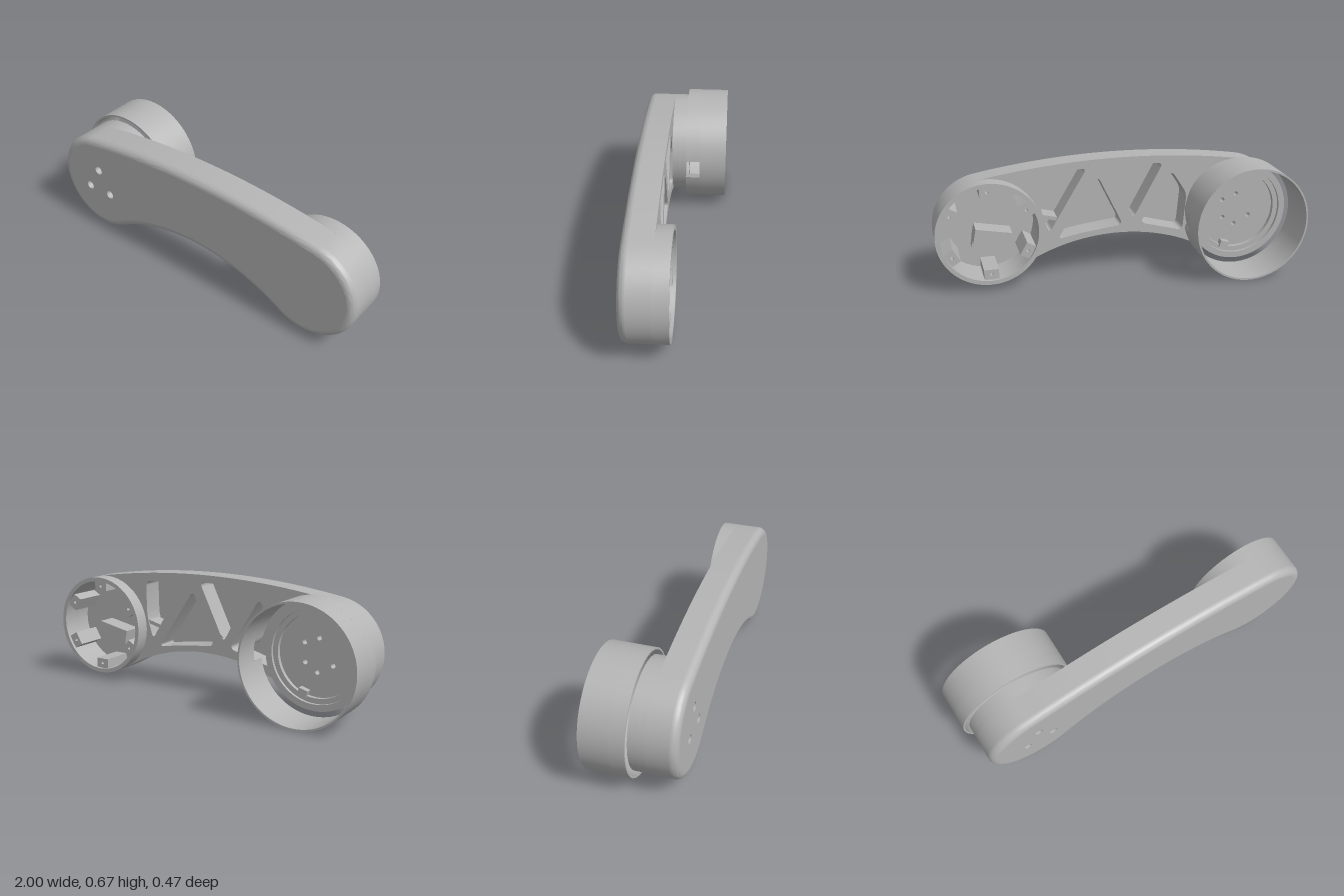
import * as THREE from 'three';
import { toCreasedNormals } from 'three/addons/utils/BufferGeometryUtils.js';

const grey = new THREE.MeshStandardMaterial({ color: 0xb4b4b4 });
grey.name = 'grey plastic';

const LEFT_X = -0.68, RIGHT_X = 0.715, END_Y = 0.325, END_R = 0.285;
const BACK = -0.005, ARM_BACK = 0.075, FLOOR = 0.195, FRONT = 0.235, ROUND = 0.04;

function arc(cx, cy, r, a0, a1, n) {
  return Array.from({ length: n }, (_, i) => {
    const a = a0 + (a1 - a0) * i / n;
    return new THREE.Vector2(cx + r * Math.cos(a), cy + r * Math.sin(a));
  });
}

// Arm outline of four tangent arcs, inset by d
function outline(d) {
  const cx = (LEFT_X + RIGHT_X) / 2, half = (RIGHT_X - LEFT_X) / 2;
  const topR = 4.37, topY = 0.67 - topR, lowR = 1.06, lowY = 0.235 - lowR;
  const top = Math.atan2(END_Y - topY, -half), low = Math.atan2(END_Y - lowY, -half);
  return [
    ...arc(LEFT_X, END_Y, END_R - d, top, low + Math.PI, 48),
    ...arc(cx, lowY, lowR + d, low, Math.PI - low, 32),
    ...arc(RIGHT_X, END_Y, END_R - d, -low, Math.PI - top, 48),
    ...arc(cx, topY, topR - d, Math.PI - top, top, 32),
  ];
}

const circle = (x, y, r, n = 64) => arc(x, y, r, 0, Math.PI * 2, n);

// Polygon with rounded corners, as points
function rounded(corners, r) {
  const pts = corners.map(([x, y]) => new THREE.Vector2(x, y));
  const path = new THREE.Path();
  pts.forEach((p, i) => {
    const prev = pts[(i + pts.length - 1) % pts.length], next = pts[(i + 1) % pts.length];
    const a = p.clone().add(prev.clone().sub(p).setLength(r));
    const b = p.clone().add(next.clone().sub(p).setLength(r));
    if (i === 0) path.moveTo(a.x, a.y); else path.lineTo(a.x, a.y);
    path.quadraticCurveTo(p.x, p.y, b.x, b.y);
  });
  return path.getPoints(8);
}

// Straight slab between two z levels
function slab(name, points, holes, z0, z1) {
  const shape = new THREE.Shape(points);
  shape.holes = holes.map(h => new THREE.Path(h));
  const g = new THREE.ExtrudeGeometry(shape, { depth: z1 - z0, bevelEnabled: false });
  g.translate(0, 0, z0);
  return mesh(name, toCreasedNormals(g, 0.5));
}

function mesh(name, geometry) {
  const m = new THREE.Mesh(geometry, grey);
  m.name = name;
  return m;
}

function box(name, w, h, d, x, y, z, turn = 0) {
  const m = mesh(name, new THREE.BoxGeometry(w, h, d));
  m.position.set(x, y, z);
  m.rotation.z = turn;
  return m;
}

// Skin of the rounded front edge, closed towards the back
function roundedEdge() {
  const rings = [[ROUND, FLOOR], [0, FLOOR]];
  for (let k = 1; k <= 8; k++) {
    const t = k / 8 * Math.PI / 2;
    rings.push([ROUND * (1 - Math.cos(t)), FLOOR + (FRONT - FLOOR) * Math.sin(t)]);
  }
  const pos = [], index = [];
  const n = outline(0).length;
  rings.forEach(([d, z]) => outline(d).forEach(p => pos.push(p.x, p.y, z)));
  for (let k = 0; k < rings.length - 1; k++) {
    for (let i = 0; i < n; i++) {
      const a = k * n + i, b = k * n + (i + 1) % n;
      index.push(a, b, b + n, a, b + n, a + n);
    }
  }
  const g = new THREE.BufferGeometry();
  g.setAttribute('position', new THREE.Float32BufferAttribute(pos, 3));
  g.setIndex(index);
  return mesh('roundedFrontEdge', toCreasedNormals(g, 0.6));
}

export function createModel() {
  const model = new THREE.Group();
  model.name = 'linkArm';

  const screws = [[-0.68, 0.415], [-0.76, 0.28], [-0.605, 0.28]];
  const screwHoles = r => screws.map(([x, y]) => circle(x, y, r, 20));

  // Arm: front plate, rounded edge and ribbed back
  const pockets = [
    [[0.17, 0.625], [0.43, 0.605], [0.425, 0.4], [0.385, 0.27]],
    [[0.11, 0.575], [0.34, 0.23], [0.2, 0.255], [-0.03, 0.28]],
    [[0.065, 0.63], [-0.26, 0.62], [-0.09, 0.31]],
    [[-0.31, 0.57], [-0.4, 0.43], [-0.38, 0.21], [-0.13, 0.28]],
  ].map(p => rounded(p, 0.035));
  const cupR = 0.262;
  model.add(
    slab('frontPlate', outline(ROUND), screwHoles(0.025), FLOOR, FRONT),
    roundedEdge(),
    slab('ribbedArm', outline(0),
      [...pockets, circle(RIGHT_X, END_Y, cupR), ...screwHoles(0.013)], ARM_BACK, FLOOR),
    box('cableClip', 0.09, 0.02, 0.1, 0.385, 0.36, 0.13, 0.25),
    box('ribClip', 0.05, 0.02, 0.08, -0.06, 0.33, 0.115, -0.5),
  );

  // Shallow stepped seat on the ring end
  const seat = new THREE.Group();
  seat.name = 'steppedSeat';
  const at = r => circle(LEFT_X, END_Y, r);
  const extra = [circle(-0.6, 0.385, 0.013, 20), circle(-0.675, 0.235, 0.013, 20)];
  seat.add(
    slab('seatRim', at(END_R), [at(0.25)], BACK, 0.012),
    slab('seatStep', at(END_R), [at(0.222)], 0.012, 0.035),
    slab('seatFloor', at(END_R), [...screwHoles(0.013), ...extra], 0.035, ARM_BACK),
    box('seatKey', 0.05, 0.04, 0.035, -0.61, 0.125, 0.015, 0.3),
  );
  model.add(seat);

  // Deep cup on the other end with screw posts
  const cup = new THREE.Group();
  cup.name = 'deepCup';
  cup.add(slab('cupWall', circle(RIGHT_X, END_Y, END_R), [circle(RIGHT_X, END_Y, cupR)], BACK, ARM_BACK));
  for (let i = 0; i < 6; i++) {
    const a = Math.PI / 6 + i * Math.PI / 3;
    const corners = [[0.205, -0.04], [0.262, -0.04], [0.262, 0.04], [0.205, 0.04]]
      .map(([x, y]) => new THREE.Vector2(x, y));
    const post = slab('screwPost', corners, [circle(0.232, 0, 0.009, 12)], 0.012, FLOOR);
    post.position.set(RIGHT_X, END_Y, 0);
    post.rotation.z = a;
    cup.add(post);
  }
  cup.add(
    box('cupBlock', 0.2, 0.08, 0.11, 0.69, 0.27, 0.14, 0.2),
    box('cupBlockStep', 0.2, 0.04, 0.06, 0.7, 0.21, 0.165, 0.2),
  );
  model.add(cup);

  // Thin collar ring with a notch facing along the arm
  const collar = new THREE.Group();
  collar.name = 'collarRing';
  const notch = Math.asin(0.0435 / 0.32), end = Math.PI * 2 - notch;
  const cy = 0.322;
  const open = [
    ...arc(LEFT_X, cy, 0.32, notch, end + 0.001, 96),
    ...arc(LEFT_X, cy, 0.31, end, notch - 0.001, 96),
  ];
  collar.add(
    slab('collarBand', circle(LEFT_X, cy, 0.32, 96), [circle(LEFT_X, cy, 0.31, 96)], -0.235, -0.085),
    slab('notchedBand', open, [], -0.085, BACK),
  );
  model.add(collar);

  return model;
}
